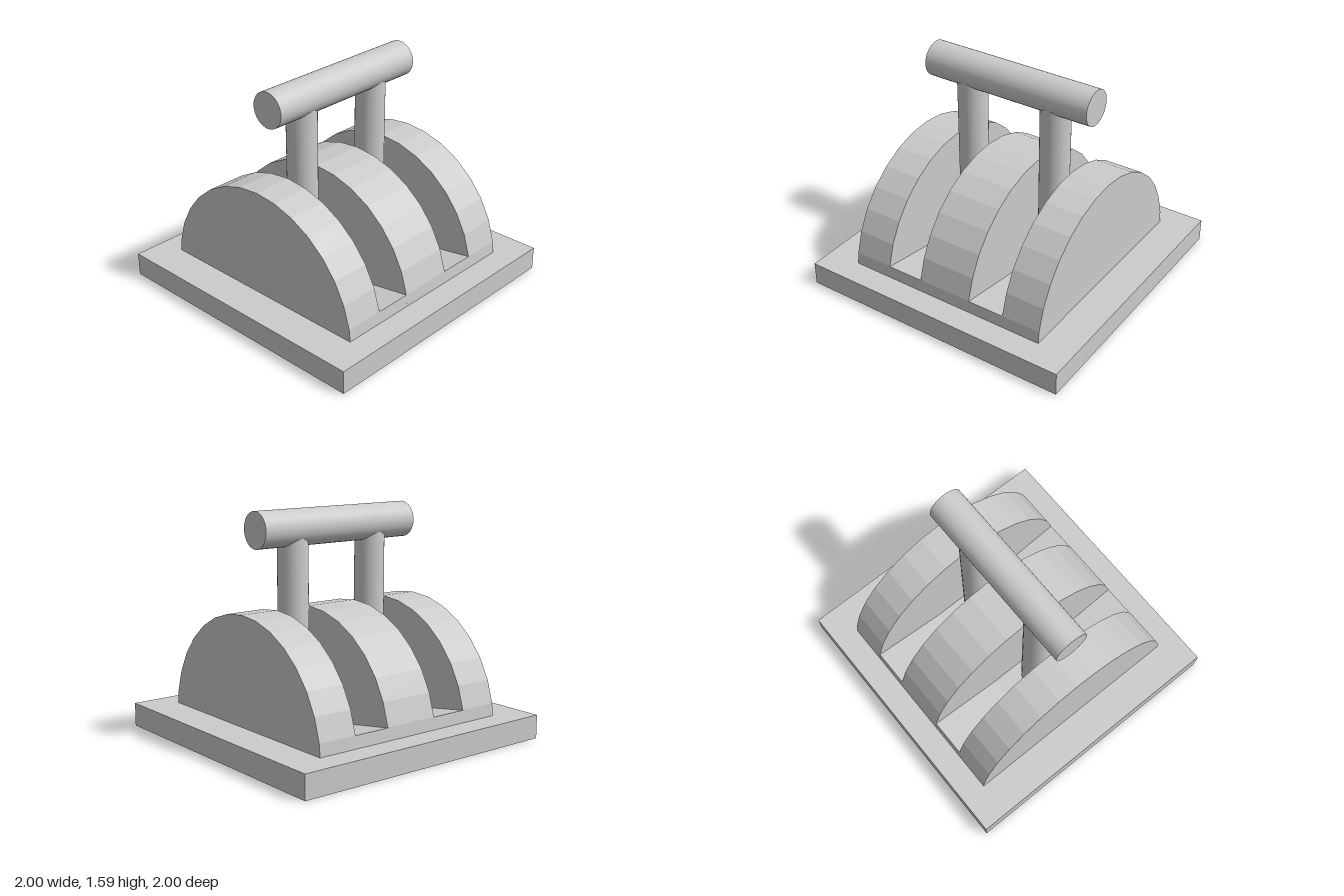
import * as THREE from 'three';

const BASE_TOP = 0.165;

export function createModel() {
  const model = new THREE.Group();
  const smooth = new THREE.MeshStandardMaterial({ color: 0xcccccc });
  const flat = new THREE.MeshStandardMaterial({ color: 0xcccccc, flatShading: true });

  const add = (name, geometry, material, x = 0, y = 0, z = 0) => {
    const mesh = new THREE.Mesh(geometry, material);
    mesh.name = name;
    mesh.position.set(x, y, z);
    model.add(mesh);
  };

  // Side profile of [z, y] points, extruded across x from x0 to x1
  const slab = (name, points, x0, x1) => {
    const shape = new THREE.Shape(points.map(([z, y]) => new THREE.Vector2(-z, y)));
    const geometry = new THREE.ExtrudeGeometry(shape, { depth: x1 - x0, bevelEnabled: false });
    geometry.rotateY(Math.PI / 2);
    add(name, geometry, flat, x0);
  };

  // Square base plate
  add('basePlate', new THREE.BoxGeometry(2, BASE_TOP, 2), flat, 0, BASE_TOP / 2);

  // Faceted dome profile, cut off at the plate
  const radius = 0.83, centreY = 0.09, footZ = 0.822;
  const dome = [[footZ, BASE_TOP]];
  for (let i = -7; i <= 7; i++) {
    const a = -i * Math.PI / 16;
    dome.push([Math.sin(a) * radius, centreY + Math.cos(a) * radius]);
  }
  dome.push([-footZ, BASE_TOP]);

  // Three dome walls with a slot between each pair
  slab('rightDomeWall', dome, -0.75, -0.467);
  slab('middleDomeWall', dome, -0.2, 0.2);
  slab('leftDomeWall', dome, 0.467, 0.75);

  // Sloping slot floors at front and back, and the lever arms
  for (const side of [-1, 1]) {
    const x0 = side < 0 ? -0.467 : 0.2;
    for (const end of [1, -1]) {
      const wedge = [[end * footZ, BASE_TOP], [end * 0.814, 0.25], [end * 0.28, BASE_TOP]];
      slab(end > 0 ? 'frontSlotFloor' : 'backSlotFloor', wedge, x0, x0 + 0.267);
    }
    const height = 1.44 - BASE_TOP;
    add(side < 0 ? 'rightLeverArm' : 'leftLeverArm',
      new THREE.CylinderGeometry(0.105, 0.105, height, 32), smooth, side * 0.333, BASE_TOP + height / 2);
  }

  // Crossbar handle
  const bar = new THREE.CylinderGeometry(0.125, 0.125, 1.27, 32);
  bar.rotateZ(Math.PI / 2);
  add('handleBar', bar, smooth, 0, 1.46);

  return model;
}
